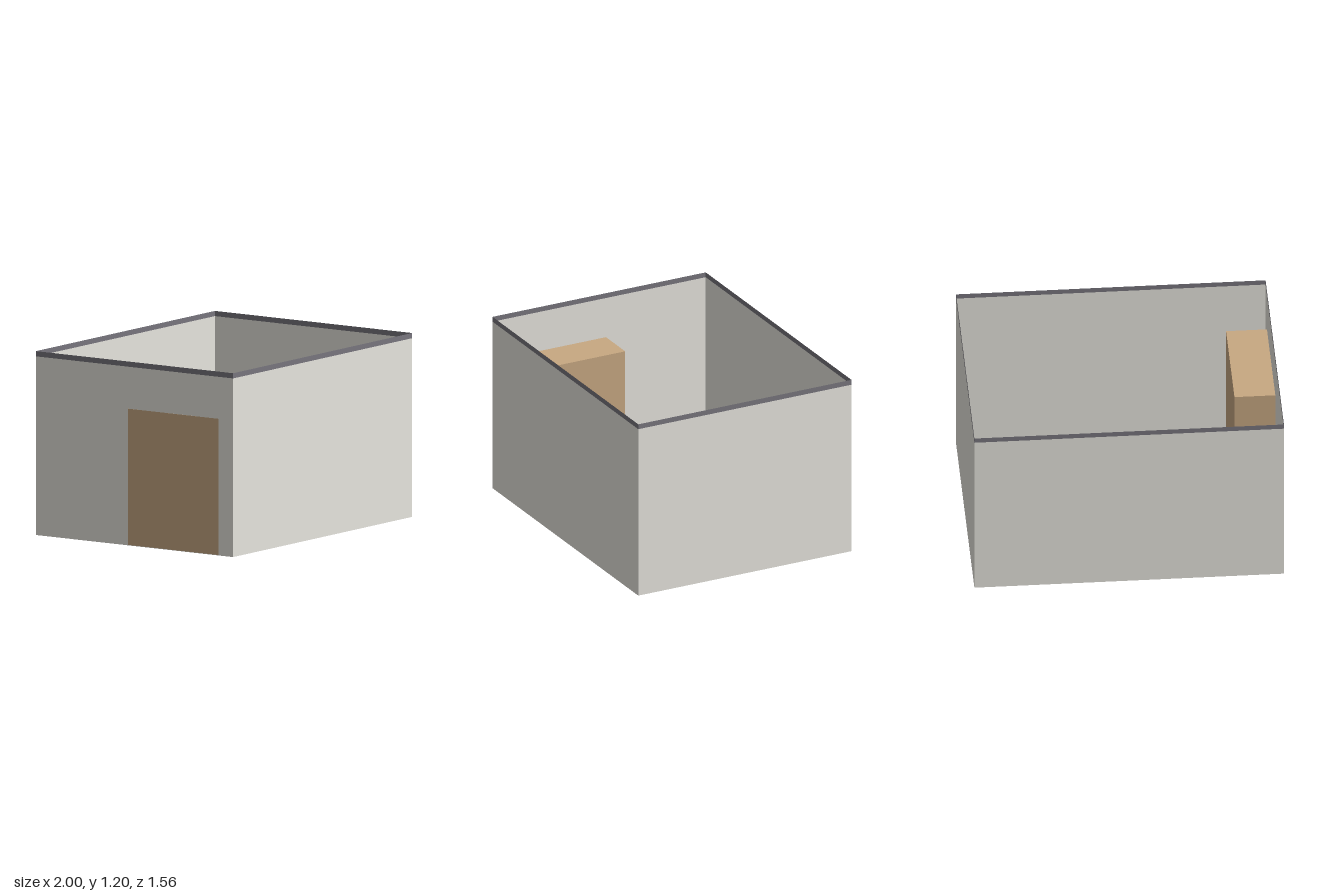
import * as THREE from 'three';

const mat = (name, color, side = THREE.FrontSide) => {
  const m = new THREE.MeshStandardMaterial({ color, side });
  m.name = name;
  return m;
};

export function createModel() {
  const room = new THREE.Group();
  room.name = 'bedroom';

  const wallPaint = mat('wallPaint', 0xf0eee7, THREE.DoubleSide);
  const trim = mat('darkTrim', 0x78767e, THREE.DoubleSide);
  const wood = mat('lightWood', 0xc8a882, THREE.DoubleSide);
  const darkWood = mat('darkWood', 0x8c6c58);
  const linen = mat('linen', 0xf0eee4);
  const blue = mat('blueBlanket', 0x88aace);
  const pink = mat('pinkRug', 0xecc3bb);

  const W = 2, D = 1.556, H = 1.2, BAND = 0.034;

  // Box given by its minimum and maximum corners
  const box = (name, material, [x0, y0, z0], [x1, y1, z1], parent = room) => {
    const mesh = new THREE.Mesh(new THREE.BoxGeometry(x1 - x0, y1 - y0, z1 - z0), material);
    mesh.position.set((x0 + x1) / 2, (y0 + y1) / 2, (z0 + z1) / 2);
    mesh.name = name;
    parent.add(mesh);
    return mesh;
  };

  // Floor sheet
  const floor = new THREE.Mesh(new THREE.PlaneGeometry(W, D), wood);
  floor.rotation.x = -Math.PI / 2;
  floor.position.y = 0.002;
  floor.name = 'floor';
  room.add(floor);

  // Four thin walls, each with a dark band along the top
  ['front', 'left', 'back', 'right'].forEach((label, i) => {
    const side = new THREE.Group();
    const length = i % 2 ? D : W;
    const addSheet = (name, material, y0, y1) => {
      const sheet = new THREE.Mesh(new THREE.PlaneGeometry(length, y1 - y0), material);
      sheet.position.set(0, (y0 + y1) / 2, (i % 2 ? W : D) / 2);
      sheet.name = name;
      side.add(sheet);
    };
    addSheet('wallPanel', wallPaint, 0, H - BAND);
    addSheet('wallTopBand', trim, H - BAND, H);
    side.rotation.y = i * Math.PI / 2;
    side.name = label + 'Wall';
    room.add(side);
  });

  // Rug
  box('rug', pink, [-0.42, 0.004, 0.075], [0.42, 0.011, 0.475]);

  // Bed
  const bed = new THREE.Group();
  bed.name = 'bed';
  room.add(bed);
  box('bedFrame', darkWood, [-0.357, 0, -0.705], [0.357, 0.133, 0.117], bed);
  box('headboard', darkWood, [-0.367, 0, -0.733], [0.367, 0.438, -0.7], bed);
  box('mattress', linen, [-0.342, 0.133, -0.7], [0.342, 0.222, 0.107], bed);
  box('blanket', blue, [-0.346, 0.15, -0.488], [0.346, 0.235, 0.073], bed);

  // Pillows and nightstands, mirrored on both sides of the bed
  for (const s of [-1, 1]) {
    const label = s > 0 ? 'left' : 'right';
    const span = (a, b) => (s > 0 ? [a, b] : [-b, -a]);
    const [p0, p1] = span(0.089, 0.267);
    box(label + 'Pillow', linen, [p0, 0.222, -0.699], [p1, 0.262, -0.542], bed);
    const [n0, n1] = span(0.375, 0.553);
    box(label + 'Nightstand', wood, [n0, 0.003, -0.735], [n1, 0.222, -0.56]);
  }

  // Wardrobe, its back flush with the right wall
  box('wardrobe', wood, [-1.001, 0.003, -0.05], [-0.736, 0.892, 0.662]);

  return room;
}
